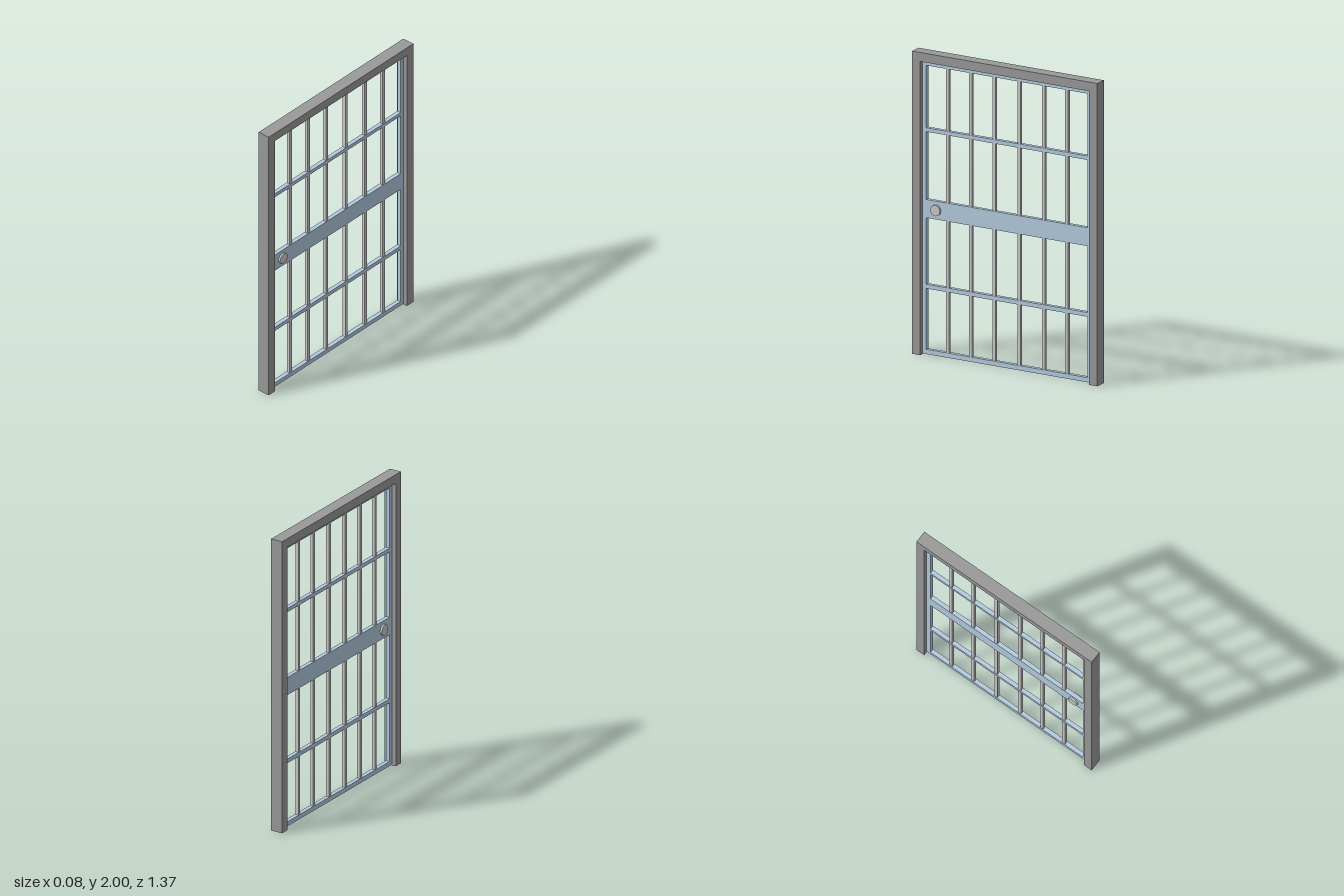
import * as THREE from 'three';

const grey = new THREE.MeshStandardMaterial({ color: 0xcccccc });
const steel = new THREE.MeshStandardMaterial({ color: 0xb4cce0 });
const dark = new THREE.MeshStandardMaterial({ color: 0x9a9a9a });

// Box given by its depth in x and its extents in y and z
function slab(name, material, depth, y0, y1, z0, z1) {
  const mesh = new THREE.Mesh(new THREE.BoxGeometry(depth, y1 - y0, z1 - z0), material);
  mesh.position.set(0, (y0 + y1) / 2, (z0 + z1) / 2);
  mesh.name = name;
  return mesh;
}

export function createModel() {
  const model = new THREE.Group();
  model.name = 'barredDoor';

  // Outer frame: two posts and a lintel as one U-shaped extrusion
  const W = 0.687, IN = 0.627, TOP = 1.94, DEPTH = 0.084;
  const outline = new THREE.Shape([
    [-W, 0], [-IN, 0], [-IN, TOP], [IN, TOP], [IN, 0], [W, 0], [W, 2], [-W, 2],
  ].map(([a, b]) => new THREE.Vector2(a, b)));
  const frameGeo = new THREE.ExtrudeGeometry(outline, { depth: DEPTH, bevelEnabled: false });
  frameGeo.translate(0, 0, -DEPTH / 2).rotateY(Math.PI / 2);
  const frame = new THREE.Mesh(frameGeo, dark);
  frame.name = 'doorFrame';
  model.add(frame);

  const door = new THREE.Group();
  door.name = 'door';
  model.add(door);

  // Door stiles
  const T = 0.028, EDGE = 0.598, BOTTOM = 0.005;
  door.add(slab('leftStile', steel, T, BOTTOM, TOP, EDGE, IN));
  door.add(slab('rightStile', steel, T, BOTTOM, TOP, -IN, -EDGE));

  // Horizontal rails and the wide lock rail
  const rails = [
    ['bottomRail', BOTTOM, 0.036], ['lowerRail', 0.438, 0.466], ['lockRail', 0.905, 1.026],
    ['upperRail', 1.474, 1.5], ['topRail', 1.912, TOP],
  ];
  for (const [name, y0, y1] of rails) door.add(slab(name, steel, T, y0, y1, -EDGE, EDGE));

  // Vertical bars
  const B = 0.022;
  [0.443, 0.272, 0.098, -0.087, -0.269, -0.441].forEach((z, i) => {
    door.add(slab('bar' + (i + 1), grey, B, 0.03, 1.92, z - B / 2, z + B / 2));
  });

  // Round lock showing on both faces
  const lock = new THREE.Mesh(new THREE.CylinderGeometry(0.036, 0.036, 0.054, 32), grey);
  lock.rotation.z = Math.PI / 2;
  lock.position.set(0, 0.966, 0.525);
  lock.name = 'lock';
  door.add(lock);

  return model;
}
